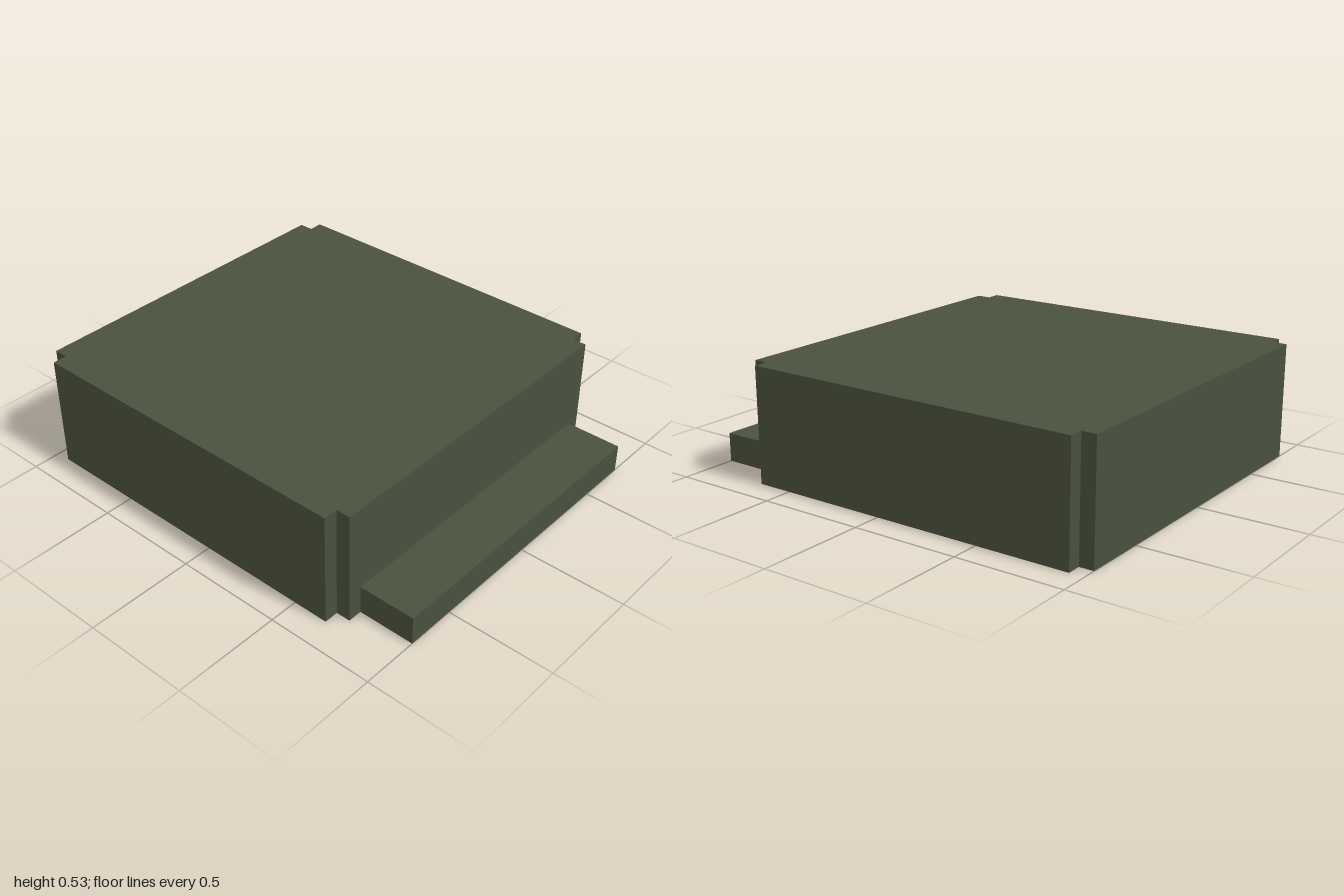
import * as THREE from 'three';

export function createModel() {
  const group = new THREE.Group();
  const olive = new THREE.MeshStandardMaterial({ color: 0x4a513d });
  olive.name = 'olive';
  const u = 1 / 15; // wall thickness, the module of all sizes

  // box given by its limits in modules
  function block(name, x0, x1, y0, y1, z0, z1) {
    const geometry = new THREE.BoxGeometry((x1 - x0) * u, (y1 - y0) * u, (z1 - z0) * u);
    const mesh = new THREE.Mesh(geometry, olive);
    mesh.position.set((x0 + x1) * u / 2, (y0 + y1) * u / 2, (z0 + z1) * u / 2);
    mesh.name = name;
    group.add(mesh);
  }

  // thick roof slab between the walls; the underside stays open
  block('roof', -12, 12, 6, 8, -14, 10);

  // four walls that meet only at their inner corners
  block('leftWall', 12, 13, 0, 8, -14, 10);
  block('rightWall', -13, -12, 0, 8, -14, 10);
  block('frontWall', -12, 12, 0, 8, 10, 11);
  block('backWall', -12, 12, 0, 8, -15, -14);

  // low step along the front
  block('frontStep', -11, 11, 0, 2, 11, 15);

  return group;
}
